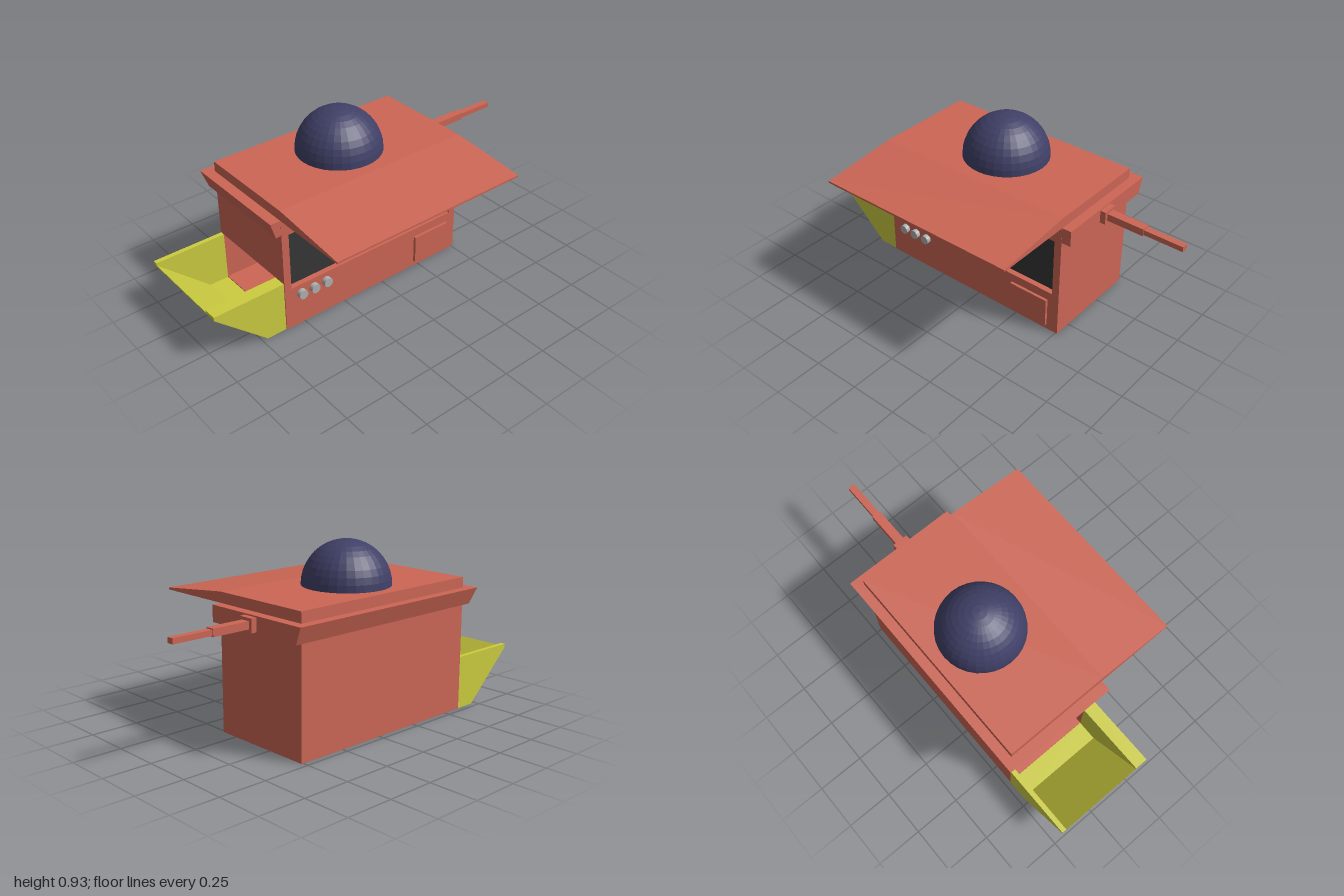
import * as THREE from 'three';

const mat = (color, side = THREE.FrontSide) =>
  new THREE.MeshStandardMaterial({ color, side, flatShading: true });

export function createModel() {
  const model = new THREE.Group();
  const red = mat(0xcc6655), yellow = mat(0xcccc40), dark = mat(0x363636);
  const grey = mat(0xb0b0b0), navy = mat(0x404068);

  const add = (name, geometry, material, parent = model) => {
    const mesh = new THREE.Mesh(geometry, material);
    mesh.name = name;
    parent.add(mesh);
    return mesh;
  };
  // Box given by its lower and upper limits on each axis
  const box = (name, x0, x1, y0, y1, z0, z1, material, parent) => {
    const g = new THREE.BoxGeometry(x1 - x0, y1 - y0, z1 - z0);
    g.translate((x0 + x1) / 2, (y0 + y1) / 2, (z0 + z1) / 2);
    return add(name, g, material, parent);
  };
  const outline = (pts) => new THREE.Shape(pts.map(([x, y]) => new THREE.Vector2(x, y)));
  const extrude = (shape, depth) =>
    new THREE.ExtrudeGeometry(shape, { depth, bevelEnabled: false });

  // Hollow body, open towards the scoop
  const body = new THREE.Group();
  body.name = 'body';
  model.add(body);
  const front = outline([[-0.61, 0], [0.51, 0], [0.51, 0.65], [-0.61, 0.65]]);
  front.holes.push(outline([[-0.57, 0.235], [-0.57, 0.555], [0.47, 0.555], [0.47, 0.235]]));
  add('frontFrame', extrude(front, 0.075).translate(0, 0, 0.02), red, body);
  box('backWall', -0.61, 0.51, 0, 0.65, -0.47, -0.445, red, body);
  box('rightEndWall', 0.47, 0.51, 0, 0.65, -0.445, 0.02, red, body);
  box('upperBody', -0.61, 0.47, 0.28, 0.65, -0.445, 0.02, red, body);
  box('floor', -0.61, 0.47, 0, 0.01, -0.445, 0.02, red, body);
  box('window', -0.57, 0.47, 0.235, 0.555, 0.02, 0.065, dark);

  // Collar under the roof, flared at the back and the scoop end
  const collar = box('collar', -0.665, 0.56, 0.565, 0.65, -0.52, 0.094, red);
  const p = collar.geometry.attributes.position;
  for (let i = 0; i < p.count; i++) {
    if (p.getY(i) > 0.6) continue;
    if (p.getX(i) < 0) p.setX(i, -0.64);
    if (p.getZ(i) < 0) p.setZ(i, -0.49);
  }
  collar.geometry.computeVertexNormals();

  // Roof with a tapering canopy, its side profile extruded along x
  const roof = extrude(
    outline([[0.47, 0.65], [0.47, 0.705], [-0.095, 0.705], [-0.52, 0.66], [-0.52, 0.65]]), 1.12);
  roof.rotateY(Math.PI / 2).translate(-0.61, 0, 0);
  add('roof', roof, red);

  // Dome
  const dome = new THREE.SphereGeometry(0.225, 32, 10, 0, Math.PI * 2, 0, Math.PI / 2);
  add('dome', dome, navy).position.set(-0.05, 0.705, -0.188);

  // Stepped arm on the side
  const arm = new THREE.Group();
  arm.name = 'sideArm';
  model.add(arm);
  box('armMount', 0.555, 0.59, 0.575, 0.643, -0.228, -0.146, red, arm);
  box('armInner', 0.59, 0.79, 0.59, 0.628, -0.21, -0.163, red, arm);
  box('armOuter', 0.79, 1, 0.595, 0.622, -0.204, -0.168, red, arm);

  // Front fittings
  box('frontHatch', 0.22, 0.445, 0.03, 0.187, 0.09, 0.11, red);
  for (const x of [-0.515, -0.44, -0.363]) {
    const knob = new THREE.CylinderGeometry(0.025, 0.025, 0.03, 20).rotateX(Math.PI / 2);
    add('knob', knob, grey).position.set(x, 0.185, 0.105);
  }

  // Scoop: two side walls and a thin bent floor
  const scoop = new THREE.Group();
  scoop.name = 'scoop';
  model.add(scoop);
  const side = outline([[-0.61, 0], [-0.61, 0.28], [-1, 0.28], [-1, 0.26], [-0.72, 0]]);
  add('scoopFrontWall', extrude(side, 0.07).translate(0, 0, 0.02), yellow, scoop);
  add('scoopBackWall', extrude(side, 0.025).translate(0, 0, -0.47), yellow, scoop);
  const pan = outline([[-0.61, 0], [-0.61, 0.005], [-0.718, 0.005], [-1, 0.267], [-1, 0.26], [-0.72, 0]]);
  add('scoopFloor', extrude(pan, 0.465).translate(0, 0, -0.445), yellow, scoop);

  return model;
}
